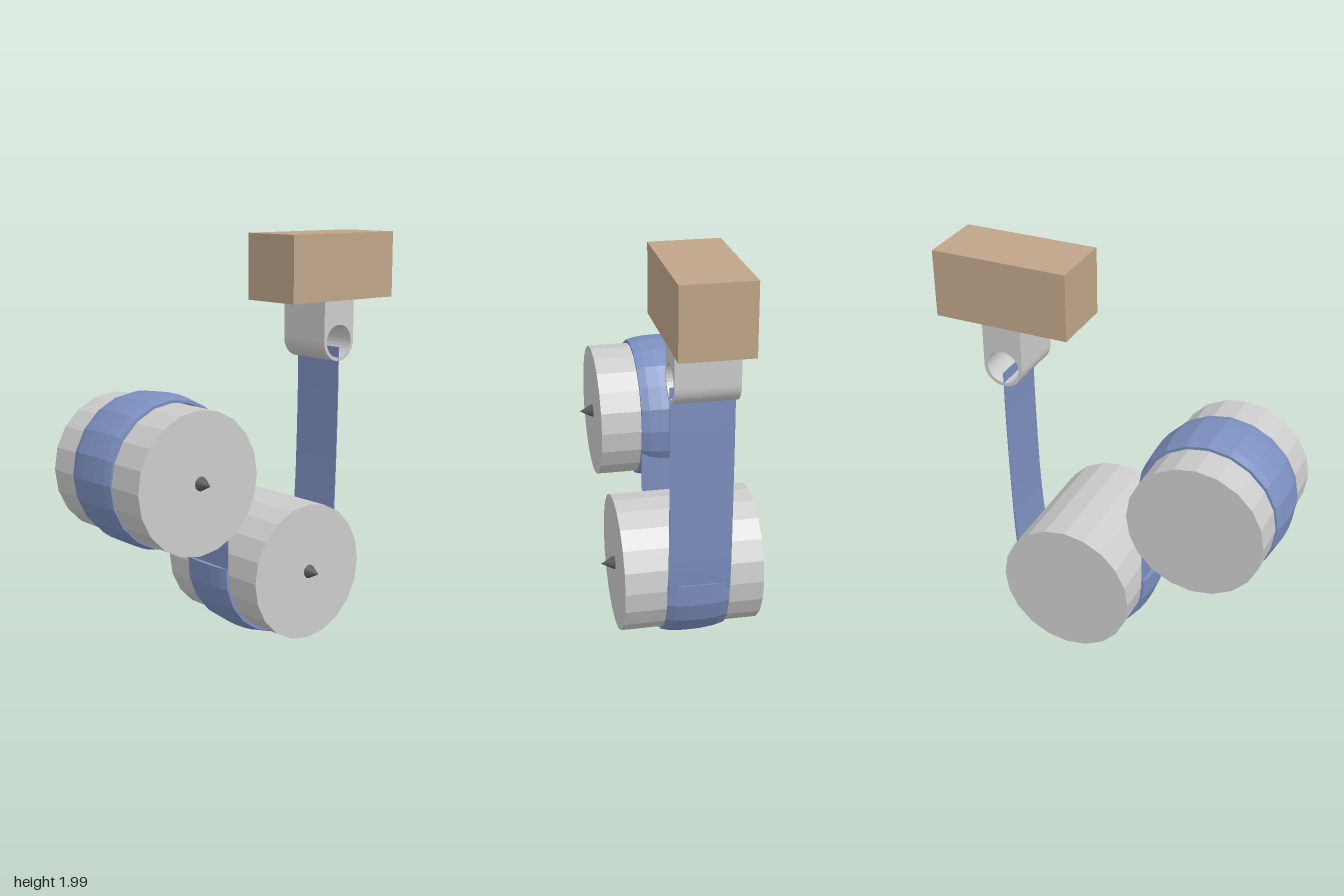
import * as THREE from 'three';

const mat = (color, extra = {}) => new THREE.MeshStandardMaterial({ color, flatShading: true, ...extra });
const GREY = mat(0xcccccc);
const DARK = mat(0x5a5a5a);
const WOOD = mat(0xbfa488);
const BLUE = mat(0x7c8fbf, { side: THREE.DoubleSide });

// The belt and bracket share this depth range
const Z0 = -0.2, Z1 = 0.1;

function add(parent, name, geometry, material, x = 0, y = 0, z = 0) {
  const mesh = new THREE.Mesh(geometry, material);
  mesh.name = name;
  mesh.position.set(x, y, z);
  parent.add(mesh);
  return mesh;
}

// Extrude an outline across the belt's depth
function extrudeBelt(shape, curveSegments = 12) {
  const g = new THREE.ExtrudeGeometry(shape, { depth: Z1 - Z0, bevelEnabled: false, curveSegments });
  return g.translate(0, 0, Z0);
}

// Drum lying along z with a pointed pivot on its front
function addDrum(parent, name, x, y) {
  const drum = new THREE.Group();
  drum.name = name;
  drum.position.set(x, y, 0);
  add(drum, 'roller', new THREE.CylinderGeometry(0.338, 0.338, 0.675, 20).rotateX(Math.PI / 2), GREY, 0, 0, -0.0355);
  add(drum, 'pivotPoint', new THREE.ConeGeometry(0.035, 0.068, 12).rotateX(Math.PI / 2), DARK, 0.008, 0, 0.335);
  parent.add(drum);
}

// Crowned belt wrap: closed cross-section (radius, z) swept around the drum, angle 0 at the bottom
const WRAP = [
  [0.338, Z0], [0.352, Z0], [0.363, -0.16], [0.369, -0.1], [0.37, -0.05],
  [0.369, 0], [0.363, 0.06], [0.352, Z1], [0.338, Z1],
].map(([r, z]) => new THREE.Vector2(r, z));

function addWrap(parent, name, x, y, start, sweep, segments) {
  const wrap = new THREE.Group();
  wrap.name = name;
  wrap.position.set(x, y, 0);
  add(wrap, 'wrapBand', new THREE.LatheGeometry([...WRAP, WRAP[0]], segments, start, sweep).rotateX(Math.PI / 2), BLUE);
  // End caps on an open wrap
  if (sweep < Math.PI * 2) {
    for (const angle of [start, start + sweep]) {
      const cap = new THREE.ShapeGeometry(new THREE.Shape(WRAP));
      add(wrap, 'wrapEnd', cap.rotateY(angle - Math.PI / 2).rotateX(Math.PI / 2), BLUE);
    }
  }
  parent.add(wrap);
}

export function createModel() {
  const model = new THREE.Group();
  model.name = 'beltAndDrums';

  addDrum(model, 'upperDrum', -0.513, 0.918);
  addDrum(model, 'lowerDrum', 0.155, 0.376);

  // Belt wraps: full turn on the upper drum, half turn under the lower one
  addWrap(model, 'upperWrap', -0.508, 0.924, 0, Math.PI * 2, 20);
  const half = Math.PI / 2 + 0.09;
  addWrap(model, 'lowerWrap', 0.155, 0.376, -half, half * 2, 11);

  // Straight belt run between the drums
  add(model, 'beltBetweenDrums', new THREE.BoxGeometry(0.004, 0.54, Z1 - Z0), BLUE, -0.184, 0.65, (Z0 + Z1) / 2);

  // Belt run rising from the lower drum to the hanger, tapering upward
  const path = new THREE.CatmullRomCurve3([
    [0.5, 0.37], [0.512, 0.46], [0.523, 0.62], [0.533, 0.9], [0.539, 1.2], [0.54, 1.43],
  ].map(([x, y]) => new THREE.Vector3(x, y, 0))).getPoints(16);
  const edge = (side) => path.map((p, i) =>
    new THREE.Vector2(p.x + side * THREE.MathUtils.lerp(0.008, 0.002, Math.min(1, i / 8)), p.y));
  const run = new THREE.Shape([...edge(1), ...edge(-1).reverse()]);
  add(model, 'beltToHanger', extrudeBelt(run), BLUE);

  // Hanger bracket with a round eye
  const cx = 0.54, cy = 1.46, r = 0.1;
  const bracket = new THREE.Shape();
  bracket.moveTo(cx + r, 1.67);
  bracket.lineTo(cx - r, 1.67);
  bracket.lineTo(cx - r, cy);
  bracket.absarc(cx, cy, r, Math.PI, Math.PI * 2, false);
  bracket.closePath();
  const eye = new THREE.Path();
  eye.absarc(cx, cy, 0.083, 0, Math.PI * 2, true);
  bracket.holes.push(eye);
  add(model, 'hangerBracket', extrudeBelt(bracket, 16), GREY);

  // Support block overhead
  add(model, 'supportBlock', new THREE.BoxGeometry(0.68, 0.332, 0.336), WOOD, 0.54, 1.834, -0.034);

  return model;
}
